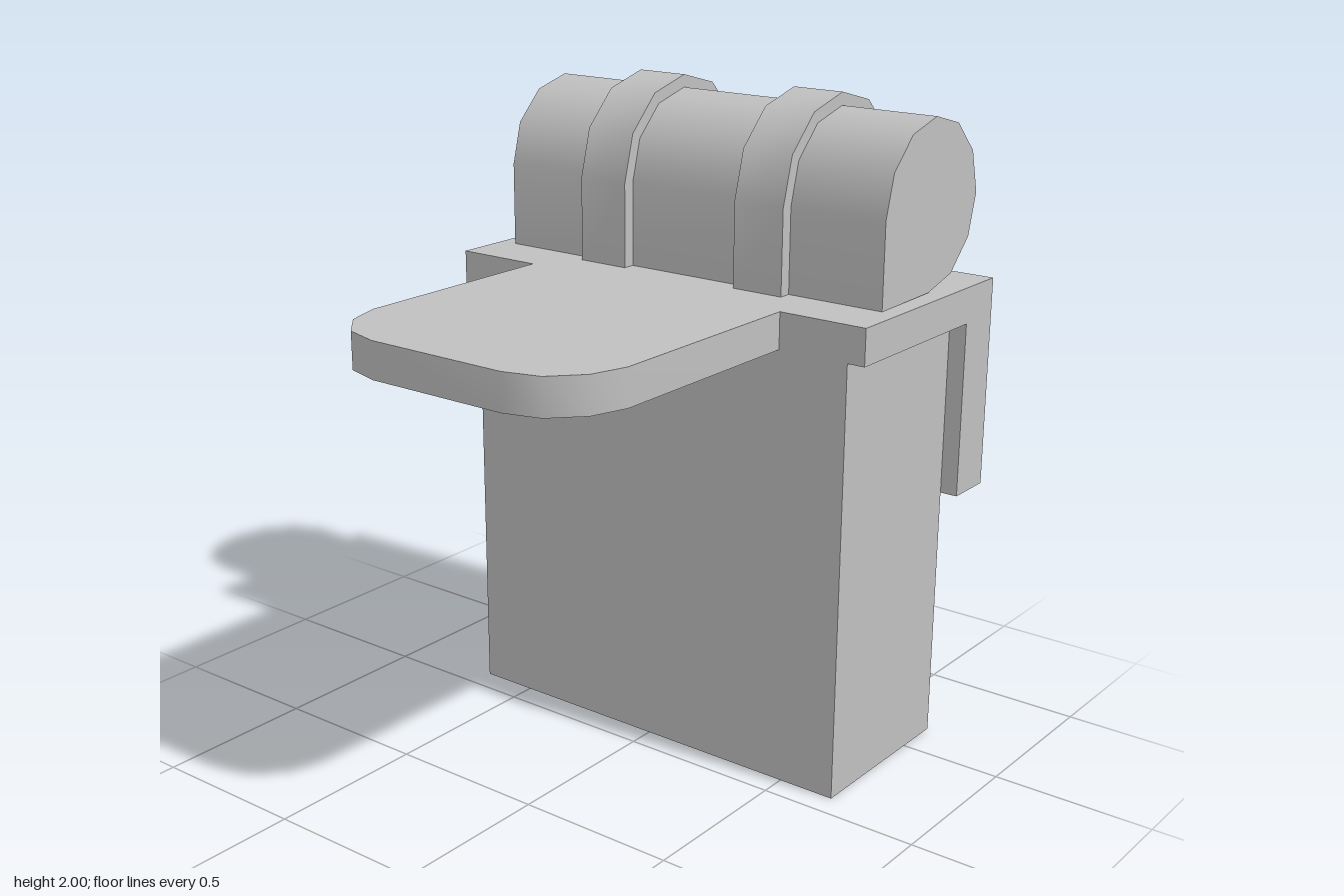
import * as THREE from 'three';
import { toCreasedNormals } from 'three/addons/utils/BufferGeometryUtils.js';

const canvas = new THREE.MeshStandardMaterial({ color: 0xc0c0c0 });
canvas.name = 'grey canvas';

function add(group, name, geometry) {
  const mesh = new THREE.Mesh(geometry, canvas);
  mesh.name = name;
  group.add(mesh);
}

// Box given by its limits on each axis
function box(x0, x1, y0, y1, z0, z1) {
  return new THREE.BoxGeometry(x1 - x0, y1 - y0, z1 - z0)
    .translate((x0 + x1) / 2, (y0 + y1) / 2, (z0 + z1) / 2);
}

function extrude(points, depth) {
  const shape = new THREE.Shape(points.map(([a, b]) => new THREE.Vector2(a, b)));
  return new THREE.ExtrudeGeometry(shape, { depth, bevelEnabled: false, steps: 1 });
}

// Side profile of [z, y] points swept along x from x0 to x1
function sweepX(points, x0, x1) {
  return extrude(points.map(([z, y]) => [-z, y]), x1 - x0).rotateY(Math.PI / 2).translate(x0, 0, 0);
}

// Twelve-sided roll profile with a flat front dropping to the lid
function rollProfile(r, lastStep) {
  const points = [[-0.507 + r, 1.45]];
  for (let i = 0; i <= lastStep; i++) {
    const a = (i * Math.PI) / 6;
    points.push([-0.507 + r * Math.cos(a), 1.707 + r * Math.sin(a)]);
  }
  return points;
}

export function createModel() {
  const group = new THREE.Group();
  group.name = 'backpack';

  add(group, 'body', box(-0.68, 0.68, 0, 1.34, -0.645, -0.08));

  // Lid with a rounded tongue reaching forward, drawn in [x, -z]
  const half = [[0.735, 0.795], [0.735, 0.08], [0.455, 0.08], [0.455, -0.6],
    [0.42, -0.71], [0.338, -0.797], [0.228, -0.828]];
  const outline = [...half, ...half.map(([x, y]) => [-x, y]).reverse()];
  const lid = extrude(outline, 0.11).rotateX(-Math.PI / 2).translate(0, 1.34, 0);
  add(group, 'lid', toCreasedNormals(lid, 0.7));

  add(group, 'backFlap', box(-0.735, 0.735, 0.8, 1.34, -0.795, -0.645));

  // Bedroll with its two bands
  add(group, 'bedroll', toCreasedNormals(sweepX(rollProfile(0.254, 9), -0.68, 0.68), 0.7));
  const strap = [[-0.79, 1.135], [-0.828, 1.135], [-0.828, 0.775], [-0.675, 0.625],
    [-0.675, 0.455], [-0.64, 0.455], [-0.64, 0.8], [-0.79, 0.8]];
  for (const [side, x] of [['left', 0.2], ['right', -0.37]]) {
    add(group, side + 'RollBand', toCreasedNormals(sweepX(rollProfile(0.293, 8), x, x + 0.168), 0.7));
    // Closing strap bridging the flap and the body
    add(group, side + 'Strap', sweepX(strap, x, x + 0.168));
  }
  return group;
}
